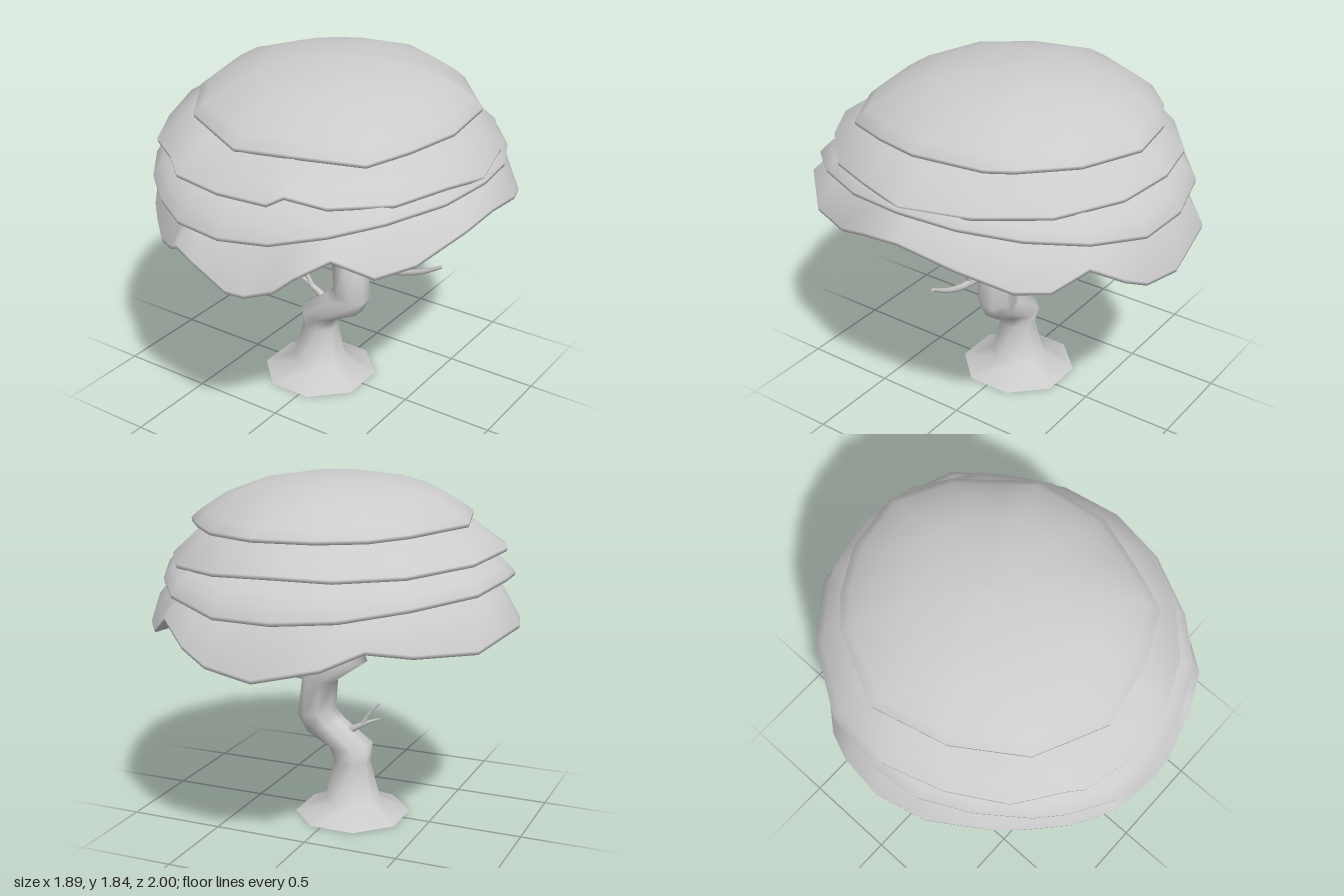
import * as THREE from 'three';

const material = new THREE.MeshStandardMaterial({ color: 0xcccccc, side: THREE.DoubleSide });

// Skin closed rings of equal length; a ring listed twice makes a sharp edge.
function loft(name, rings) {
  const n = rings[0].length, index = [];
  for (let i = 0; i < rings.length - 1; i++) {
    if (rings[i] === rings[i + 1]) continue;
    for (let j = 0; j < n; j++) {
      const a = i * n + j, b = i * n + (j + 1) % n;
      index.push(a, a + n, b, b, a + n, b + n);
    }
  }
  const geometry = new THREE.BufferGeometry();
  geometry.setAttribute('position', new THREE.Float32BufferAttribute(rings.flat(2), 3));
  geometry.setIndex(index);
  geometry.computeVertexNormals();
  const mesh = new THREE.Mesh(geometry, material);
  mesh.name = name;
  return mesh;
}

// Ring through a left and a right point, with half depth rz.
function ring([xl, yl, xr, yr, rz], sides, z = -0.01) {
  const k = 1 / Math.cos(Math.PI / sides);
  return Array.from({ length: sides }, (_, j) => {
    const a = (j + 0.5) / sides * Math.PI * 2, c = Math.cos(a) * k;
    return [(xl + xr) / 2 + c * (xr - xl) / 2, (yl + yr) / 2 + c * (yr - yl) / 2, z + Math.sin(a) * k * rz];
  });
}

// Tapering branch along points in the xy plane.
function branch(name, points, r0, r1) {
  const curve = new THREE.CatmullRomCurve3(points.map(([x, y]) => new THREE.Vector3(x, y, 0)));
  const steps = points.length * 2 - 2, rings = [];
  for (let i = 0; i <= steps; i++) {
    const t = i / steps, p = curve.getPoint(t), d = curve.getTangent(t);
    const r = THREE.MathUtils.lerp(r0, r1, t);
    rings.push(ring([p.x - d.y * r, p.y + d.x * r, p.x + d.y * r, p.y - d.x * r, r], 6, -0.015));
  }
  const tip = rings[steps];
  rings.push(tip, tip.map(() => [...points[points.length - 1], -0.015]));
  return loft(name, rings);
}

// Canopy layer: wavy rim, outer skin rising towards topY, underside rising to underY.
// Profile entries are [scale of the rim, fraction of the rise].
function layer(name, rim, topY, profile, underY) {
  const at = (s, f, top) => rim.map(([x, y, z]) => [x * s, y + f * (top - y), -0.08 + (z + 0.08) * s]);
  const lip = rim.map(([x, y, z]) => [x * 1.003, y + 0.02, z * 1.003]);
  return loft(name, [
    at(0, 1, underY), at(0.45, 0.7, underY), at(0.8, 0.3, underY), at(1, 0, topY),
    lip, ...profile.map(([s, f]) => at(s, f, topY)),
  ]);
}

// Rim points run from the model's left (+x) round by the front.
const skirtRim = [
  [0.94, 1.23, -0.02], [0.92, 1.2, 0.2], [0.8, 1.09, 0.45], [0.72, 1.1, 0.68], [0.58, 1.21, 0.83],
  [0.43, 1.11, 0.91], [0.34, 1.03, 0.94], [0.2, 0.98, 0.98], [0.1, 0.98, 0.99], [-0.1, 1.07, 0.98],
  [-0.2, 1.12, 0.97], [-0.28, 1.07, 0.92], [-0.4, 1.05, 0.85], [-0.57, 1.03, 0.69], [-0.68, 1.06, 0.58],
  [-0.77, 1.09, 0.46], [-0.87, 1.07, 0.3], [-0.94, 1.1, 0.04], [-0.91, 1.09, -0.2], [-0.85, 1.05, -0.35],
  [-0.62, 1.07, -0.62], [-0.45, 1.12, -0.8], [-0.3, 1.06, -0.96], [0.03, 0.98, -1], [0.28, 1.02, -0.98],
  [0.42, 1.09, -0.94], [0.57, 1.19, -0.84], [0.7, 1.09, -0.72], [0.8, 1.09, -0.58], [0.9, 1.17, -0.33],
];
const lowerRim = [
  [0.9, 1.37, 0], [0.86, 1.36, 0.3], [0.72, 1.34, 0.6], [0.55, 1.31, 0.8], [0.3, 1.25, 0.92],
  [0.05, 1.23, 0.97], [-0.2, 1.24, 0.95], [-0.42, 1.25, 0.82], [-0.55, 1.3, 0.72], [-0.72, 1.31, 0.5],
  [-0.85, 1.32, 0.25], [-0.88, 1.34, 0], [-0.83, 1.32, -0.32], [-0.62, 1.3, -0.65], [-0.35, 1.27, -0.88],
  [-0.05, 1.25, -0.96], [0.25, 1.25, -0.95], [0.54, 1.3, -0.82], [0.72, 1.32, -0.58], [0.85, 1.35, -0.3],
];
const upperRim = [
  [0.89, 1.39, 0], [0.84, 1.42, 0.25], [0.72, 1.4, 0.52], [0.5, 1.41, 0.74], [0.32, 1.45, 0.82],
  [0.25, 1.41, 0.86], [0, 1.42, 0.9], [-0.3, 1.41, 0.83], [-0.38, 1.47, 0.78], [-0.6, 1.45, 0.62],
  [-0.76, 1.45, 0.35], [-0.86, 1.48, 0.05], [-0.8, 1.46, -0.3], [-0.58, 1.44, -0.62], [-0.3, 1.44, -0.83],
  [0, 1.45, -0.9], [0.3, 1.43, -0.85], [0.6, 1.41, -0.66], [0.8, 1.4, -0.35],
];
const crownRim = [
  [0.74, 1.59, 0.03], [0.66, 1.57, 0.3], [0.57, 1.56, 0.53], [0.3, 1.58, 0.66], [-0.03, 1.57, 0.73],
  [-0.4, 1.61, 0.57], [-0.62, 1.62, 0.25], [-0.72, 1.62, -0.14], [-0.55, 1.61, -0.5], [-0.4, 1.6, -0.65],
  [-0.19, 1.6, -0.77], [0.11, 1.6, -0.82], [0.4, 1.59, -0.68], [0.6, 1.58, -0.45], [0.69, 1.59, -0.34],
];

export function createModel() {
  const tree = new THREE.Group();
  tree.name = 'tree';

  // Crooked trunk with a flared foot, open underneath
  tree.add(loft('trunk', [
    [-0.35, 0, 0.22, 0, 0.29], [-0.2, 0.08, 0.07, 0.08, 0.135], [-0.15, 0.29, 0.03, 0.29, 0.088],
    [-0.16, 0.39, 0.05, 0.36, 0.112], [0, 0.51, 0.19, 0.43, 0.085], [0.05, 0.56, 0.24, 0.52, 0.095],
    [0.04, 0.72, 0.21, 0.76, 0.1], [-0.13, 0.84, 0.05, 0.88, 0.094], [-0.05, 1.04, 0.11, 0.99, 0.08],
    [-0.07, 1.25, 0.07, 1.25, 0.073],
  ].map((r) => ring(r, 8))));

  // Bare branches and twigs
  tree.add(
    branch('leftBranch', [[0.16, 0.73], [0.3, 0.74], [0.45, 0.755], [0.58, 0.8], [0.68, 0.855]], 0.022, 0.008),
    branch('leftStub', [[0.24, 0.73], [0.245, 0.8]], 0.01, 0.008),
    branch('leftTwig', [[0.37, 0.74], [0.42, 0.83], [0.46, 0.91]], 0.014, 0.003),
    branch('leftTwigTip', [[0.42, 0.83], [0.41, 0.88]], 0.006, 0.003),
    branch('rightBranch', [[-0.02, 0.44], [-0.13, 0.505], [-0.22, 0.545]], 0.02, 0.004),
    branch('rightTwig', [[-0.12, 0.5], [-0.17, 0.58], [-0.22, 0.63]], 0.012, 0.004),
    branch('highBranch', [[-0.03, 0.93], [-0.12, 1.03], [-0.21, 1.08], [-0.31, 1.12]], 0.035, 0.008),
  );

  // Four overlapping canopy layers, lowest first
  tree.add(
    layer('canopySkirt', skirtRim, 1.46, [[0.9, 0.5], [0.75, 0.75]], 1.23),
    layer('canopyLower', lowerRim, 1.57, [[0.96, 0.25], [0.9, 0.43], [0.72, 0.7]], 1.42),
    layer('canopyUpper', upperRim, 1.74, [[0.92, 0.25], [0.82, 0.48], [0.62, 0.62]], 1.52),
    layer('canopyCrown', crownRim, 1.837,
      [[0.93, 0.27], [0.76, 0.6], [0.54, 0.83], [0.28, 0.97], [0, 1]], 1.66),
  );
  return tree;
}
